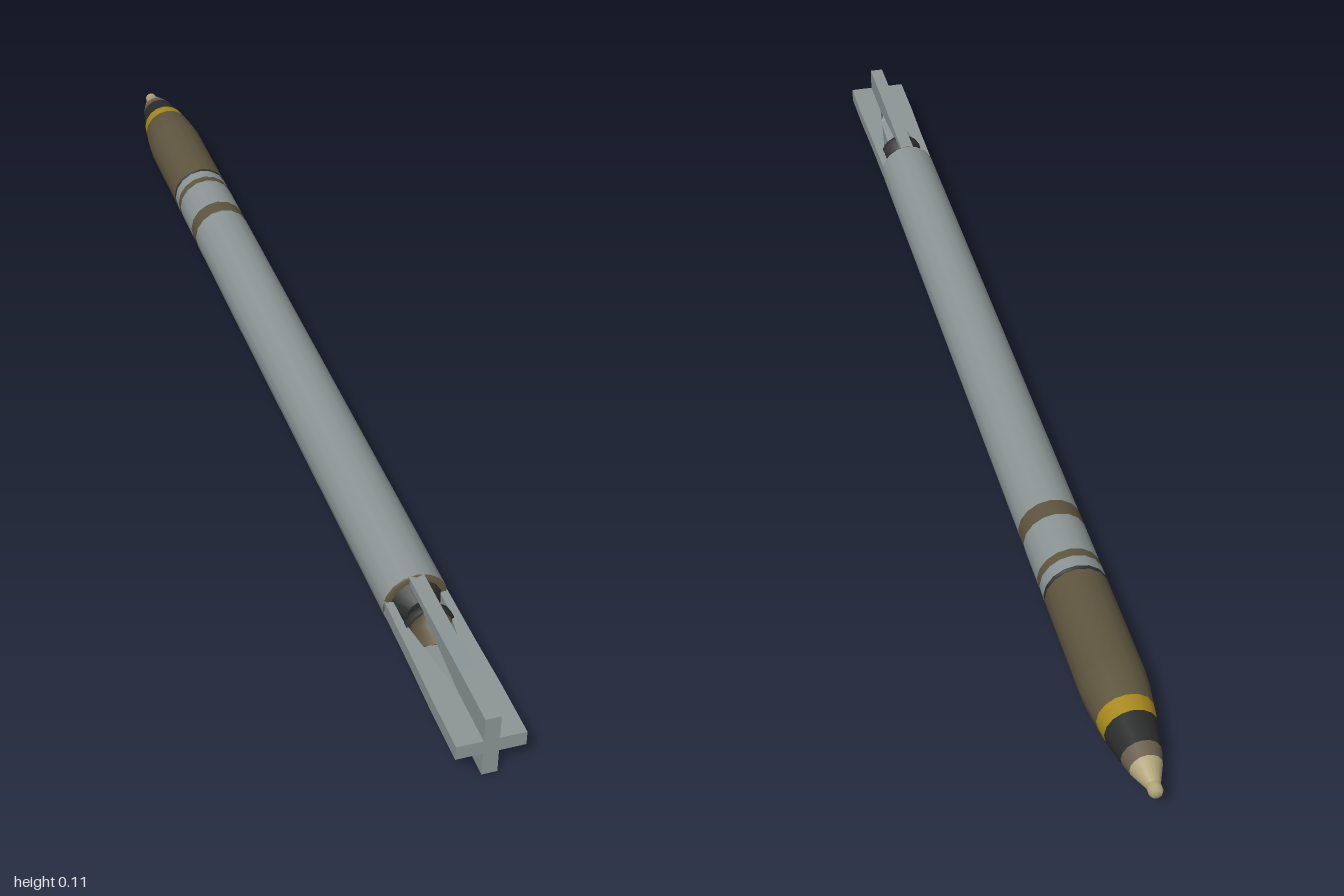
import * as THREE from 'three';

const GREY = 0x8d9696, BROWN = 0x5f563f, DARK = 0x2b2c2c, YELLOW = 0xa98a1c;
const TAN = 0x6a5f4e, CREAM = 0xb0a57a;
const SIDES = 16, R = 0.052, AXIS_Y = 0.053;

const paint = (color, side = THREE.FrontSide) => new THREE.MeshStandardMaterial({ color, side });

// Turned section along z; profile is a list of [z, radius] from nose to tail.
function turned(name, color, profile, side) {
  const points = profile.map(([z, r]) => new THREE.Vector2(r, z));
  const geometry = new THREE.LatheGeometry(points, SIDES);
  geometry.rotateX(Math.PI / 2);
  const mesh = new THREE.Mesh(geometry, paint(color, side));
  mesh.name = name;
  return mesh;
}

export function createModel() {
  const model = new THREE.Group();
  model.name = 'rocket';
  const rocket = new THREE.Group();
  rocket.name = 'airframe';
  rocket.position.y = AXIS_Y;
  model.add(rocket);

  // Nose: fuze tip, cone and painted rings
  rocket.add(
    turned('fuzeTip', CREAM, [[-1, 0], [-1, 0.008], [-0.995, 0.011], [-0.983, 0.011]]),
    turned('fuzeCone', CREAM, [[-0.983, 0.011], [-0.948, 0.025]]),
    turned('fuzeCollar', TAN, [[-0.948, 0.025], [-0.925, 0.031]]),
    turned('blackNoseRing', DARK, [[-0.925, 0.031], [-0.875, 0.041]]),
    turned('yellowNoseRing', YELLOW, [[-0.875, 0.041], [-0.847, 0.045]]),
    turned('warheadShoulder', BROWN, [[-0.847, 0.045], [-0.81, 0.05], [-0.78, R]]),
    turned('warhead', BROWN, [[-0.78, R], [-0.583, R]]),
    turned('jointGroove', DARK, [[-0.583, R], [-0.581, 0.049], [-0.577, 0.049], [-0.575, R]])
  );

  // Motor tube with painted bands
  const tube = [
    ['frontTube', GREY, -0.575, -0.552], ['narrowBand', BROWN, -0.552, -0.536],
    ['middleTube', GREY, -0.536, -0.452], ['wideBand', BROWN, -0.452, -0.418],
    ['motorTube', GREY, -0.418, 0.685]
  ];
  for (const [name, color, z0, z1] of tube) rocket.add(turned(name, color, [[z0, R], [z1, R]]));

  // Tail plate, and nozzle that narrows then flares
  rocket.add(
    turned('tailPlate', BROWN, [[0.685, R], [0.689, 0.05], [0.689, 0.042]]),
    turned('tailCone', DARK, [[0.689, 0.042], [0.712, 0.022]]),
    turned('nozzleBell', DARK, [[0.712, 0.022], [0.722, 0.026], [0.738, 0.04], [0.75, 0.04], [0.75, 0.035]]),
    turned('nozzleThroat', BROWN, [[0.75, 0.035], [0.722, 0.02], [0.715, 0]])
  );

  // Four folded fins: thin at the hinge, meeting on the axis at the tail
  const thickness = 0.024;
  const outline = new THREE.Shape([
    [0.685, 0.037], [0.73, 0.037], [0.9, 0.012], [0.915, 0], [1, 0], [1, 0.053], [0.9, 0.053],
    [0.8, 0.051], [0.685, 0.05]
  ].map(([z, r]) => new THREE.Vector2(z, r)));
  const finGeometry = new THREE.ExtrudeGeometry(outline, { depth: thickness, bevelEnabled: false });
  finGeometry.translate(0, 0, -thickness / 2);
  finGeometry.rotateY(-Math.PI / 2);
  const finPaint = paint(GREY);
  for (let i = 0; i < 4; i++) {
    const fin = new THREE.Mesh(finGeometry, finPaint);
    fin.name = 'foldedFin' + (i + 1);
    fin.rotation.z = (i * Math.PI) / 2;
    rocket.add(fin);
  }
  return model;
}
